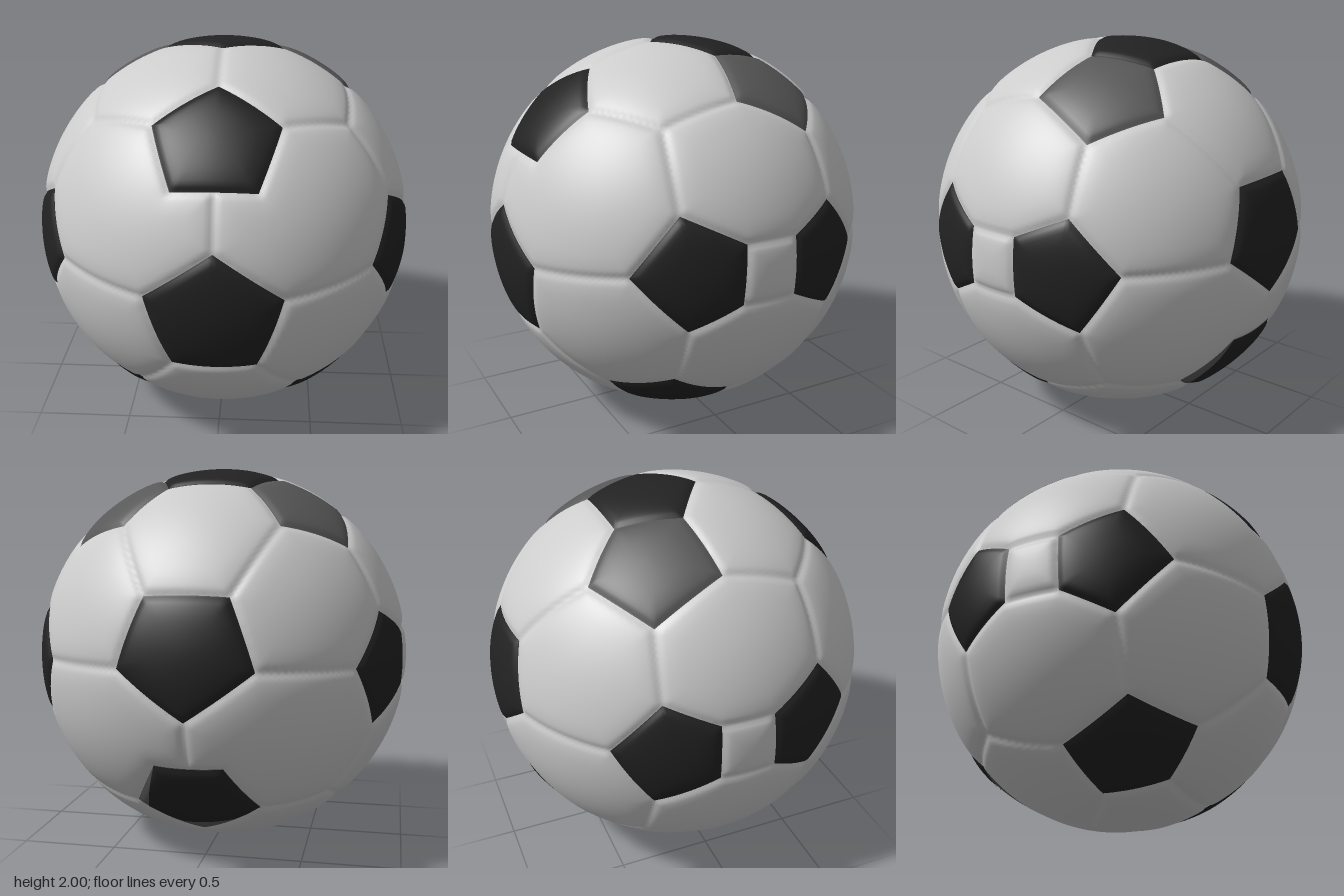
import * as THREE from 'three';
import { mergeVertices } from 'three/addons/utils/BufferGeometryUtils.js';

const V = (x, y, z) => new THREE.Vector3(x, y, z).normalize();
const flip = (p) => V(-p.x, p.y, p.z);

// Named panel corners on the unit sphere (the +x half; the rest is mirrored)
const P = {
  f0: V(0, 0.88, 0.48), f1: V(0.31, 0.72, 0.62), f2: V(0.205, 0.475, 0.855),
  c0: V(0, 0.22, 0.975), c1: V(0.335, -0.02, 0.94), c2: V(0.21, -0.41, 0.89),
  t0: V(0, 0.99, 0.13), t1: V(0.32, 0.945, -0.075), t2: V(0.215, 0.895, -0.39),
  g0: V(0.395, 0.705, -0.59), g1: V(0.71, 0.6, -0.38), g2: V(0.64, 0.77, -0.01),
  b0: V(0, -0.2, -0.98), b1: V(0.33, 0.04, -0.94), b2: V(0.205, 0.38, -0.9),
  k0: V(0, -0.86, -0.51), k1: V(0.315, -0.68, -0.66), k2: V(0.17, -0.435, -0.885),
  r0: V(0.853, 0.315, 0.415), r1: V(0.977, 0.17, 0.125), r2: V(0.98, -0.13, 0.14),
  r3: V(0.887, -0.255, 0.385), r4: V(0.772, 0.025, 0.635),
  s0: V(0.868, 0.285, -0.405), s1: V(0.772, 0.025, -0.635), s2: V(0.85, -0.28, -0.445),
  s3: V(0.98, -0.13, -0.15), s4: V(0.974, 0.17, -0.15),
  d0: V(0.718, -0.59, 0.37), d1: V(0.65, -0.76, 0.005), d2: V(0.36, -0.93, 0.075),
  d3: V(0.28, -0.88, 0.395), d4: V(0.42, -0.68, 0.595),
  k: V(0.635, 0.67, 0.39), m: V(0.636, -0.64, -0.43), n: V(0, -0.98, -0.18),
  fMid: V(0, 0.475, 0.88), kMid: V(0, -0.435, -0.9),
};
const pick = (names) => names.split(' ').map((n) => P[n]);

// Symmetric pentagon from its tip and two corners
const centred = (names) => {
  const [tip, a, b] = pick(names);
  return [tip, a, b, flip(b), flip(a)];
};
// Put the corners in counter-clockwise order seen from outside
function outward(poly) {
  const c = poly.reduce((s, p) => s.add(p), new THREE.Vector3());
  return poly[0].clone().cross(poly[1]).dot(c) < 0 ? [...poly].reverse() : poly;
}

const pentagons = [];
const addPentagon = (name, poly, tone) => pentagons.push({ name, poly: outward(poly), tone });
addPentagon('upperFrontPentagon', centred('f0 f1 f2'), 'dark');
addPentagon('frontPentagon', centred('c0 c1 c2'), 'dark');
addPentagon('topPentagon', centred('t0 t1 t2'), 'dark');
addPentagon('backPentagon', centred('b0 b1 b2'), 'dark');
addPentagon('lowerBackPentagon', centred('k0 k1 k2'), 'grey');
for (const [name, corners, tone] of [
  ['SideFrontPentagon', 'r0 r1 r2 r3 r4', 'dark'],
  ['SideBackPentagon', 's0 s1 s2 s3 s4', 'dark'],
  ['LowerPentagon', 'd0 d1 d2 d3 d4', 'dark'],
  ['UpperPentagon', 'g0 g1 g2 t1 t2', 'grey'],
]) {
  addPentagon('left' + name, pick(corners), tone);
  addPentagon('right' + name, pick(corners).map(flip), tone);
}

// Seams: pentagon outlines plus the links between them
const seams = [];
function addSeam(a, b) {
  const n = a.clone().cross(b).normalize();
  seams.push({ a, b, n, inA: n.clone().cross(a), inB: b.clone().cross(n) });
}
pentagons.forEach(({ poly }) => poly.forEach((p, i) => addSeam(p, poly[(i + 1) % poly.length])));
for (const link of [
  'f0 t0', 'fMid c0', 'f1 k', 'k g2', 'k r0', 'c1 r4', 'c2 d4', 'r3 d0', 'r1 s4', 'r2 s3',
  's0 g1', 's1 b1', 's2 m', 'm d1', 'm k1', 'g0 b2', 'b0 kMid', 'k0 n', 'n d2',
]) {
  const [a, b] = pick(link);
  addSeam(a, b);
  if (a.x || b.x) addSeam(flip(a), flip(b));
}
addSeam(P.d3, flip(P.d3));

function seamDistance(p) {
  let best = 9;
  for (const s of seams) {
    const d = s.inA.dot(p) > 0 && s.inB.dot(p) > 0
      ? Math.abs(s.n.dot(p))
      : Math.min(p.distanceTo(s.a), p.distanceTo(s.b));
    if (d < best) best = d;
  }
  return best;
}
// Puffy panels: radius dips softly, then sharply, toward a seam
function radius(p) {
  const d = seamDistance(p);
  return 1 - 0.011 * Math.exp(-((d / 0.018) ** 2)) - 0.006 * Math.exp(-((d / 0.06) ** 2));
}
const inside = (p, poly) =>
  poly.every((a, i) => a.clone().cross(poly[(i + 1) % poly.length]).dot(p) > 0);

// Pale shell with pressed seams, sunk slightly beneath the pentagons
function shellGeometry() {
  let geo = new THREE.IcosahedronGeometry(1, 63);
  geo.deleteAttribute('normal');
  geo.deleteAttribute('uv');
  geo = mergeVertices(geo, 1e-5);
  const pos = geo.attributes.position;
  const p = new THREE.Vector3();
  for (let i = 0; i < pos.count; i++) {
    p.fromBufferAttribute(pos, i).normalize();
    const covered = pentagons.some(({ poly }) => inside(p, poly));
    p.multiplyScalar(covered ? 0.98 : radius(p));
    pos.setXYZ(i, p.x, p.y, p.z);
  }
  geo.computeVertexNormals();
  return geo;
}

// Curved panel: concentric rings from the centre to the outline
function panelGeometry(poly, lift) {
  const perEdge = 16, rings = 12, count = poly.length * perEdge;
  const centre = poly.reduce((s, p) => s.add(p), new THREE.Vector3()).normalize();
  const positions = [], index = [];
  const push = (p) => {
    p.normalize();
    p.multiplyScalar(radius(p) + lift);
    positions.push(p.x, p.y, p.z);
  };
  push(centre.clone());
  for (let r = 1; r <= rings; r++) {
    const t = 1 - (1 - r / rings) ** 1.4;
    for (let i = 0; i < count; i++) {
      const e = Math.floor(i / perEdge);
      const edge = poly[e].clone().lerp(poly[(e + 1) % poly.length], (i % perEdge) / perEdge);
      push(centre.clone().lerp(edge, t));
      const j = (i + 1) % count, o = 1 + (r - 1) * count, q = o - count;
      if (r === 1) index.push(0, o + i, o + j);
      else index.push(q + i, o + i, o + j, q + i, o + j, q + j);
    }
  }
  const geo = new THREE.BufferGeometry();
  geo.setAttribute('position', new THREE.Float32BufferAttribute(positions, 3));
  geo.setIndex(index);
  geo.computeVertexNormals();
  return geo;
}

export function createModel() {
  const material = (name, color) => {
    const m = new THREE.MeshStandardMaterial({ color });
    m.name = name;
    return m;
  };
  const mats = {
    pale: material('pale leather', 0xcccccc),
    dark: material('black leather', 0x222222),
    grey: material('grey leather', 0x585858),
  };
  const ball = new THREE.Group();
  ball.name = 'ball';
  const add = (name, geo, mat) => {
    const mesh = new THREE.Mesh(geo, mat);
    mesh.name = name;
    mesh.position.y = 1;
    ball.add(mesh);
  };
  add('paleShell', shellGeometry(), mats.pale);
  for (const { name, poly, tone } of pentagons) add(name, panelGeometry(poly, 0.003), mats[tone]);

  // Black patch covering most of the lower back pentagon
  const patch = outward([
    P.k2, flip(P.k2), flip(P.k1), V(-0.177, -0.745, -0.643),
    V(0.085, -0.775, -0.624), V(0.25, -0.695, -0.672),
  ]);
  add('lowerBackPatch', panelGeometry(patch, 0.007), mats.dark);
  return ball;
}
